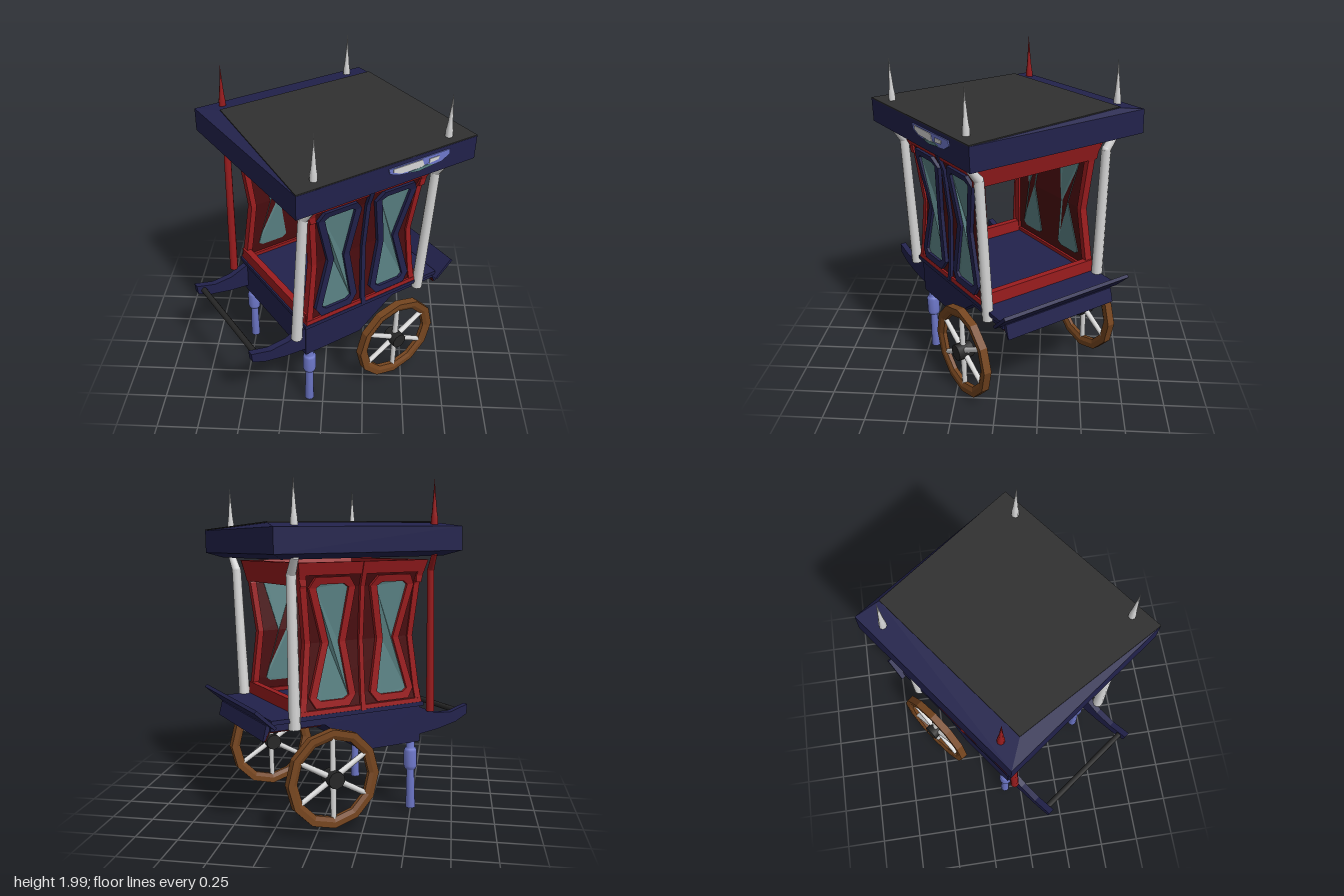
import * as THREE from 'three';
import { mergeGeometries } from 'three/addons/utils/BufferGeometryUtils.js';
import { ConvexGeometry } from 'three/addons/geometries/ConvexGeometry.js';

const mat = (name, color) => Object.assign(new THREE.MeshStandardMaterial({ color }), { name });

export function createModel() {
  const M = {
    blue: mat('navy', 0x22224c), red: mat('red', 0x9a1c1e), darkRed: mat('dark red', 0x4a0d0f),
    slate: mat('roof slate', 0x303030), glass: mat('teal glass', 0x5a8284), white: mat('pale grey', 0xd8d8d8),
    peri: mat('periwinkle', 0x6f79cc), brown: mat('wheel brown', 0x75451f), black: mat('charcoal', 0x262626),
  };
  const V = (x, y, z) => new THREE.Vector3(x, y, z);
  const root = new THREE.Group();
  root.name = 'wagon';
  const wagon = new THREE.Group();
  wagon.name = 'tiltedWagon';
  wagon.rotation.set(0.03, 0.633, 0, 'YXZ');
  wagon.position.set(-0.02, 0.01, -0.027);
  root.add(wagon);

  const add = (name, geo, material, parent = wagon) => {
    const m = new THREE.Mesh(geo, material);
    m.name = name;
    parent.add(m);
    return m;
  };
  // box given by its ranges
  const box = (x0, x1, y0, y1, z0, z1) =>
    new THREE.BoxGeometry(x1 - x0, y1 - y0, z1 - z0).translate((x0 + x1) / 2, (y0 + y1) / 2, (z0 + z1) / 2);
  // tapered rod between two points
  const rod = (a, b, r0, r1, sides = 10) => {
    const d = b.clone().sub(a);
    const g = new THREE.CylinderGeometry(r1, r0, d.length(), sides);
    g.applyQuaternion(new THREE.Quaternion().setFromUnitVectors(V(0, 1, 0), d.normalize()));
    return g.translate((a.x + b.x) / 2, (a.y + b.y) / 2, (a.z + b.z) / 2);
  };
  const toShape = (pts) => new THREE.Shape(pts.map(p => new THREE.Vector2(...p)));
  // side profile extruded across z, centred on z
  const plate = (pts, depth, z = 0) =>
    new THREE.ExtrudeGeometry(toShape(pts), { depth, bevelEnabled: false }).translate(0, 0, z - depth / 2);

  // Chassis, deck and rear flap
  add('chassis', plate([[-0.385, 0.418], [0.01, 0.418], [0.25, 0.6], [0.58, 0.6], [0.58, 0.645], [-0.385, 0.645]], 0.76), M.blue);
  add('deck', box(-0.4, 0.58, 0.64, 0.665, -0.4, 0.4), M.blue);
  add('floorUnderside', box(0.27, 0.585, 0.592, 0.6, -0.37, 0.37), M.darkRed);
  add('rearFlap', plate([[0.56, 0.63], [0.575, 0.62], [0.69, 0.725], [0.675, 0.74]], 0.86), M.blue);
  add('rearApron', plate([[0.565, 0.635], [0.6, 0.635], [0.622, 0.55], [0.612, 0.55]], 0.74), M.blue);
  add('apronLining', plate([[0.556, 0.635], [0.564, 0.635], [0.611, 0.545], [0.603, 0.545]], 0.73), M.darkRed);

  // Shafts and pull bar
  for (const s of [1, -1])
    add('shaft', plate([[-0.745, 0.605], [-0.62, 0.57], [-0.5, 0.58], [-0.385, 0.63], [-0.385, 0.46],
      [-0.52, 0.475], [-0.66, 0.505], [-0.74, 0.545]], 0.038, s * 0.355), M.blue);
  add('pullBar', rod(V(-0.7, 0.56, -0.35), V(-0.7, 0.56, 0.35), 0.018, 0.018), M.black);

  // Front legs
  const leg = [[0, 0.005], [0.03, 0.005], [0.024, 0.24], [0.036, 0.25], [0.041, 0.27], [0.041, 0.36], [0.036, 0.375],
    [0.026, 0.38], [0.026, 0.43]].map(p => new THREE.Vector2(...p));
  for (const s of [1, -1])
    add('frontLeg', new THREE.LatheGeometry(leg, 10).translate(-0.34, 0, s * 0.35), M.peri);

  // Wheels
  const rimProfile = [[0.225, -0.012], [0.25, -0.024], [0.284, -0.024], [0.284, 0.024], [0.25, 0.024], [0.225, 0.012],
    [0.225, -0.012]].map(p => new THREE.Vector2(...p));
  for (const s of [1, -1]) {
    const wheel = new THREE.Group();
    wheel.name = 'wheel';
    wheel.position.set(0.24, 0.307, s * 0.453);
    wagon.add(wheel);
    const rim = new THREE.LatheGeometry(rimProfile, 12).toNonIndexed().rotateX(Math.PI / 2);
    rim.computeVertexNormals();
    add('rim', rim, M.brown, wheel);
    for (let i = 0; i < 6; i++) {
      const a = Math.PI / 2 + i * Math.PI / 3;
      add('spoke', rod(V(0, 0, 0), V(Math.cos(a) * 0.235, Math.sin(a) * 0.235, 0), 0.019, 0.016, 8), M.white, wheel);
    }
    add('hub', rod(V(0, 0, -0.05), V(0, 0, 0.05), 0.05, 0.05), M.black, wheel);
  }

  // Cabin: pinched at the waist, described by height, half length, half width
  const knots = [[0.66, 0.4, 0.39], [0.76, 0.385, 0.378], [1.065, 0.35, 0.362], [1.37, 0.383, 0.388], [1.51, 0.412, 0.435]];
  const at = (y, k) => {
    let i = 0;
    while (i < 3 && y > knots[i + 1][0]) i++;
    const t = (y - knots[i][0]) / (knots[i + 1][0] - knots[i][0]);
    return THREE.MathUtils.lerp(knots[i][k], knots[i + 1][k], t);
  };
  const warp = (g) => {
    const p = g.attributes.position;
    for (let i = 0; i < p.count; i++) {
      const y = p.getY(i);
      p.setXYZ(i, p.getX(i) * at(y, 1) / 0.4, y, p.getZ(i) + at(y, 2));
    }
    g.computeVertexNormals();
    return g;
  };
  // full-height strip, one block per knot interval
  const strip = (x0, x1, z0, z1) => mergeGeometries(knots.slice(1).map((k, i) => warp(box(x0, x1, knots[i][0], k[0], z0, z1))));
  // window outline: wide ends and a narrow waist, width and height margins
  const outline = (cx, top, end, waist, cap) => [[cx - cap, 1.065 - top], [cx + cap, 1.065 - top], [cx + end, 0.76],
    [cx + waist, 1.065], [cx + end, 1.37], [cx + cap, 1.065 + top], [cx - cap, 1.065 + top], [cx - end, 1.37],
    [cx - waist, 1.065], [cx - end, 0.76]];

  const cabin = new THREE.Group();
  cabin.name = 'cabin';
  cabin.position.x = 0.01;
  wagon.add(cabin);
  [[0, M.blue], [Math.PI, M.red]].forEach(([turn, trim]) => {
    const wall = new THREE.Group();
    wall.name = 'sideWall';
    wall.rotation.y = turn;
    cabin.add(wall);
    add('wallPanel', strip(-0.36, 0.36, -0.025, -0.005), M.darkRed, wall);
    for (const s of [-1, 1]) {
      add('cornerStile', strip(s * 0.38 - 0.02, s * 0.38 + 0.02, -0.04, 0.006), M.red, wall);
      const cx = s * 0.2;
      const frame = toShape(outline(cx, 0.365, 0.15, 0.085, 0.105));
      frame.holes.push(new THREE.Path(outline(cx, 0.325, 0.105, 0.038, 0.075).map(p => new THREE.Vector2(...p))));
      add('windowFrame', warp(new THREE.ExtrudeGeometry(frame, { depth: 0.025, bevelEnabled: false }).translate(0, 0, -0.008)), trim, wall);
      add('windowGlass', warp(plate(outline(cx, 0.325, 0.105, 0.038, 0.075), 0.03, -0.015)), M.glass, wall);
    }
    add('mullion', strip(-0.015, 0.015, -0.01, 0.014), trim, wall);
    add('topRail', warp(box(-0.4, 0.4, 1.44, 1.51, -0.04, 0.008)), M.red, wall);
    add('bottomRail', warp(box(-0.4, 0.4, 0.66, 0.69, -0.04, 0.008)), M.red, wall);
  });
  // End beams over and under the open ends
  for (const s of [1, -1]) {
    const top = plate([[0.35, 1.38], [0.385, 1.38], [0.42, 1.51], [0.36, 1.51]], 0.82);
    const bottom = box(0.36, 0.4, 0.66, 0.74, -0.38, 0.38);
    for (const [name, g] of [['topBeam', top], ['bottomBeam', bottom]])
      add(name, s > 0 ? g : g.rotateY(Math.PI), M.red, cabin);
  }

  // Roof
  const ring = (x0, x1, y, z0, z1) => [V(x0, y, z0), V(x1, y, z0), V(x1, y, z1), V(x0, y, z1)];
  add('roof', new ConvexGeometry([
    ...ring(-0.48, 0.53, 1.53, -0.47, 0.47), ...ring(-0.556, 0.61, 1.56, -0.558, 0.558),
    ...ring(-0.556, 0.61, 1.698, -0.558, 0.558), V(-0.465, 1.722, -0.41), V(0.58, 1.722, -0.41)]), M.blue);
  const slate = [V(-0.465, 1.723, -0.41), V(0.58, 1.723, -0.41), V(0.61, 1.699, 0.558), V(-0.556, 1.699, 0.558)];
  add('roofSlate', new ConvexGeometry([...slate, ...slate.map(p => V(p.x, p.y + 0.006, p.z))]), M.slate);

  // Painted patch on the long eave
  add('patch', plate([[0, 1.675], [0.41, 1.678], [0.415, 1.65], [0.36, 1.62], [0.2, 1.605], [0.06, 1.625], [0.01, 1.645]], 0.008, 0.56), M.peri);
  add('patchLight', plate([[0.03, 1.67], [0.22, 1.67], [0.24, 1.625], [0.08, 1.63], [0.03, 1.65]], 0.004, 0.565), M.white);
  add('patchLightSmall', plate([[0.27, 1.66], [0.34, 1.66], [0.33, 1.64], [0.27, 1.635]], 0.004, 0.565), M.white);
  add('patchTeal', plate([[0.13, 1.622], [0.26, 1.632], [0.3, 1.62], [0.2, 1.608]], 0.004, 0.566), M.glass);

  // Corner posts bent out under the eaves, with spikes above; one corner is red
  const spike = [[0.022, 1.66], [0.021, 1.74], [0.016, 1.77], [0.013, 1.8], [0, 1.965]].map(p => new THREE.Vector2(...p));
  for (const [foot, bend, head] of [[-0.455, -0.432, -0.411], [0.44, 0.457, 0.463]])
    for (const s of [1, -1]) {
      const isRed = s < 0 && foot < 0, m = isRed ? M.red : M.white, k = isRed ? 0.75 : 1;
      const a = V(foot, 0.6, s * 0.39), b = V(bend, 1.45, s * 0.423), c = V(head, 1.545, s * 0.492);
      add('cornerPost', rod(a, b, 0.034 * k, 0.028 * k), m);
      add('postElbow', new THREE.SphereGeometry(0.028 * k, 10, 6).translate(b.x, b.y, b.z), m);
      add('postBracket', rod(b, c, 0.027 * k, 0.022 * k), m);
      add('roofSpike', new THREE.LatheGeometry(spike, 8).translate(head, 0, s * 0.488), m);
    }
  return root;
}
